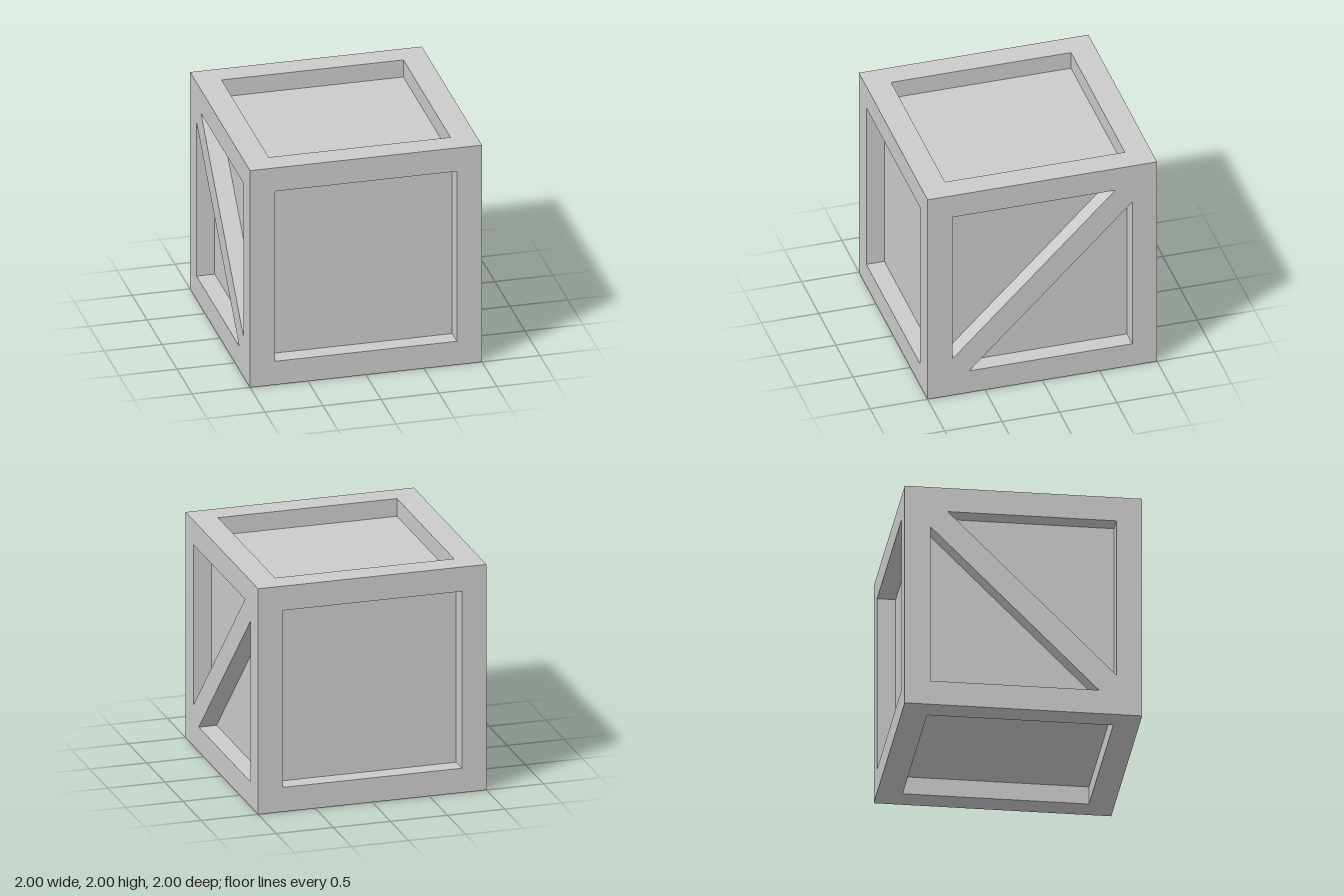
import * as THREE from 'three';

const HALF = 1;        // half the crate's side
const OPEN = 0.784;    // half the frame opening
const CORE = 0.843;    // half the inner box, whose faces are the recessed panels
const BRACE = 0.147;   // vertical half-height of the diagonal brace

const material = new THREE.MeshStandardMaterial({ color: 0xcccccc, flatShading: true });

const toPoints = (list) => list.map(([x, y]) => new THREE.Vector2(x, y));

// One side of the frame: a square plate with holes, mitred to meet its neighbours
function frameSide(holes) {
  const shape = new THREE.Shape(toPoints([[-HALF, -HALF], [HALF, -HALF], [HALF, HALF], [-HALF, HALF]]));
  for (const hole of holes) shape.holes.push(new THREE.Path(toPoints(hole)));

  const geometry = new THREE.ExtrudeGeometry(shape, { depth: HALF - CORE, bevelEnabled: false });
  geometry.translate(0, 0, CORE);

  // Pull the outer border of the inner face in, giving 45 degree mitres
  const pos = geometry.attributes.position;
  for (let i = 0; i < pos.count; i++) {
    if (pos.getZ(i) > CORE + 0.01) continue;
    pos.setX(i, THREE.MathUtils.clamp(pos.getX(i), -CORE, CORE));
    pos.setY(i, THREE.MathUtils.clamp(pos.getY(i), -CORE, CORE));
  }
  geometry.computeVertexNormals();
  return geometry;
}

export function createModel() {
  const crate = new THREE.Group();
  crate.name = 'crate';

  // Inner box forming the six recessed panels
  const panels = new THREE.Mesh(new THREE.BoxGeometry(2 * CORE, 2 * CORE, 2 * CORE), material);
  panels.name = 'panels';
  panels.position.y = HALF;
  crate.add(panels);

  // Plain square opening, and the two triangles either side of a diagonal brace
  const square = [[[-OPEN, -OPEN], [OPEN, -OPEN], [OPEN, OPEN], [-OPEN, OPEN]]];
  const braced = (dir) => [1, -1].map((s) => [
    [-OPEN * s * dir, OPEN * s],
    [(OPEN - BRACE) * s * dir, OPEN * s],
    [-OPEN * s * dir, (BRACE - OPEN) * s],
  ]);

  const plainSide = frameSide(square);
  const quarter = Math.PI / 2;
  const sides = [
    ['frontFrame', plainSide, 0, 0],
    ['backFrame', plainSide, 0, Math.PI],
    ['topFrame', plainSide, -quarter, 0],
    ['bottomFrame', plainSide, quarter, 0],
    ['leftBracedFrame', frameSide(braced(1)), 0, quarter],
    ['rightBracedFrame', frameSide(braced(-1)), 0, -quarter],
  ];
  for (const [name, geometry, rx, ry] of sides) {
    const side = new THREE.Mesh(geometry, material);
    side.name = name;
    side.rotation.set(rx, ry, 0);
    side.position.y = HALF;
    crate.add(side);
  }
  return crate;
}
